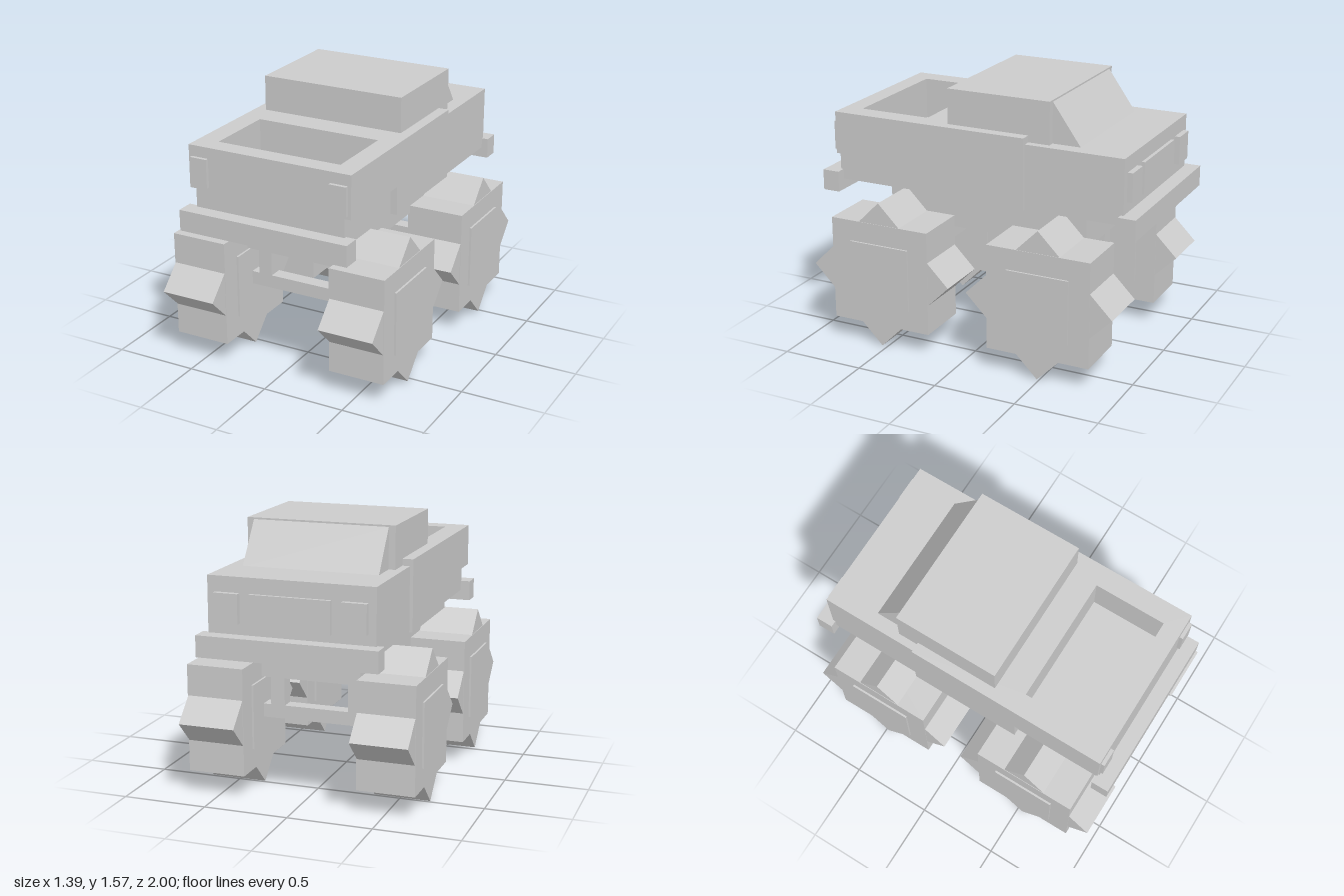
import * as THREE from 'three';

const grey = new THREE.MeshStandardMaterial({ color: 0xcccccc });
grey.name = 'plain grey';

export function createModel() {
  const model = new THREE.Group();
  model.name = 'monsterTruck';

  const add = (name, geometry, parent = model) => {
    const mesh = new THREE.Mesh(geometry, grey);
    mesh.name = name;
    parent.add(mesh);
    return mesh;
  };
  // Box given by its limits on each axis
  const box = (name, x0, x1, y0, y1, z0, z1, parent) => {
    const mesh = add(name, new THREE.BoxGeometry(x1 - x0, y1 - y0, z1 - z0), parent);
    mesh.position.set((x0 + x1) / 2, (y0 + y1) / 2, (z0 + z1) / 2);
    return mesh;
  };
  const wide = (name, halfX, y0, y1, z0, z1) => box(name, -halfX, halfX, y0, y1, z0, z1);

  // Lower body, stepped inward below the bed
  wide('chassis', 0.3, 0.685, 0.96, -0.615, 0.665);
  wide('hood', 0.49, 0.94, 1.325, -0.912, -0.315);
  wide('cabLower', 0.51, 0.94, 1.11, -0.315, 0.365);
  wide('bedLower', 0.47, 0.94, 1.11, 0.365, 0.912);

  // Upper body with the open bed cut through it
  const rect = (Shape, x, a, b) => new Shape([
    new THREE.Vector2(-x, a), new THREE.Vector2(x, a),
    new THREE.Vector2(x, b), new THREE.Vector2(-x, b),
  ]);
  const outline = rect(THREE.Shape, 0.51, -0.912, 0.315);
  outline.holes.push(rect(THREE.Path, 0.385, -0.8, -0.36));
  const upper = new THREE.ExtrudeGeometry(outline, { depth: 0.255, bevelEnabled: false });
  upper.rotateX(-Math.PI / 2);
  add('bedUpper', upper).position.y = 1.11;

  // Cab and sloping windscreen
  wide('cab', 0.445, 1.32, 1.575, -0.445, 0.195);
  const wedge = new THREE.Shape([
    new THREE.Vector2(0.44, 1.32), new THREE.Vector2(0.62, 1.32), new THREE.Vector2(0.446, 1.565),
    new THREE.Vector2(0.44, 1.565),
  ]);
  const screen = new THREE.ExtrudeGeometry(wedge, { depth: 0.81, bevelEnabled: false });
  screen.rotateY(Math.PI / 2);
  add('windscreen', screen).position.x = -0.405;

  // Bumpers, grille and lamps
  wide('frontBumper', 0.53, 0.875, 1.0, 0.895, 1.0);
  wide('rearBumper', 0.53, 0.875, 1.0, -1.0, -0.895);
  wide('grille', 0.235, 1.045, 1.235, -0.932, -0.9);
  for (const s of [-1, 1]) {
    const lamp = (name, a, b, ...rest) => box(name, Math.min(s * a, s * b), Math.max(s * a, s * b), ...rest);
    lamp('squareLamp', 0.3, 0.445, 1.065, 1.235, -0.944, -0.9);
    lamp('tallLamp', 0.385, 0.49, 1.13, 1.3, 0.9, 0.933);
  }

  // Axles, struts and wheels made of two crossed blocks
  for (const z of [0.535, -0.485]) {
    wide('axle', 0.34, 0.415, 0.495, z - 0.042, z + 0.042);
    for (const s of [-1, 1]) {
      const x = s * 0.2375;
      box('strut', x - 0.0425, x + 0.0425, 0.49, 0.7, z - 0.042, z + 0.042);

      const wheel = new THREE.Group();
      wheel.name = 'wheel';
      wheel.position.set(s * 0.51, 0.453, z);
      model.add(wheel);
      add('tyreBlock', new THREE.BoxGeometry(0.342, 0.636, 0.636), wheel);
      const tread = add('tyreTread', new THREE.BoxGeometry(0.336, 0.639, 0.639), wheel);
      tread.rotation.x = Math.PI / 4;
      add('hub', new THREE.BoxGeometry(0.366, 0.384, 0.384), wheel);
    }
  }
  return model;
}
